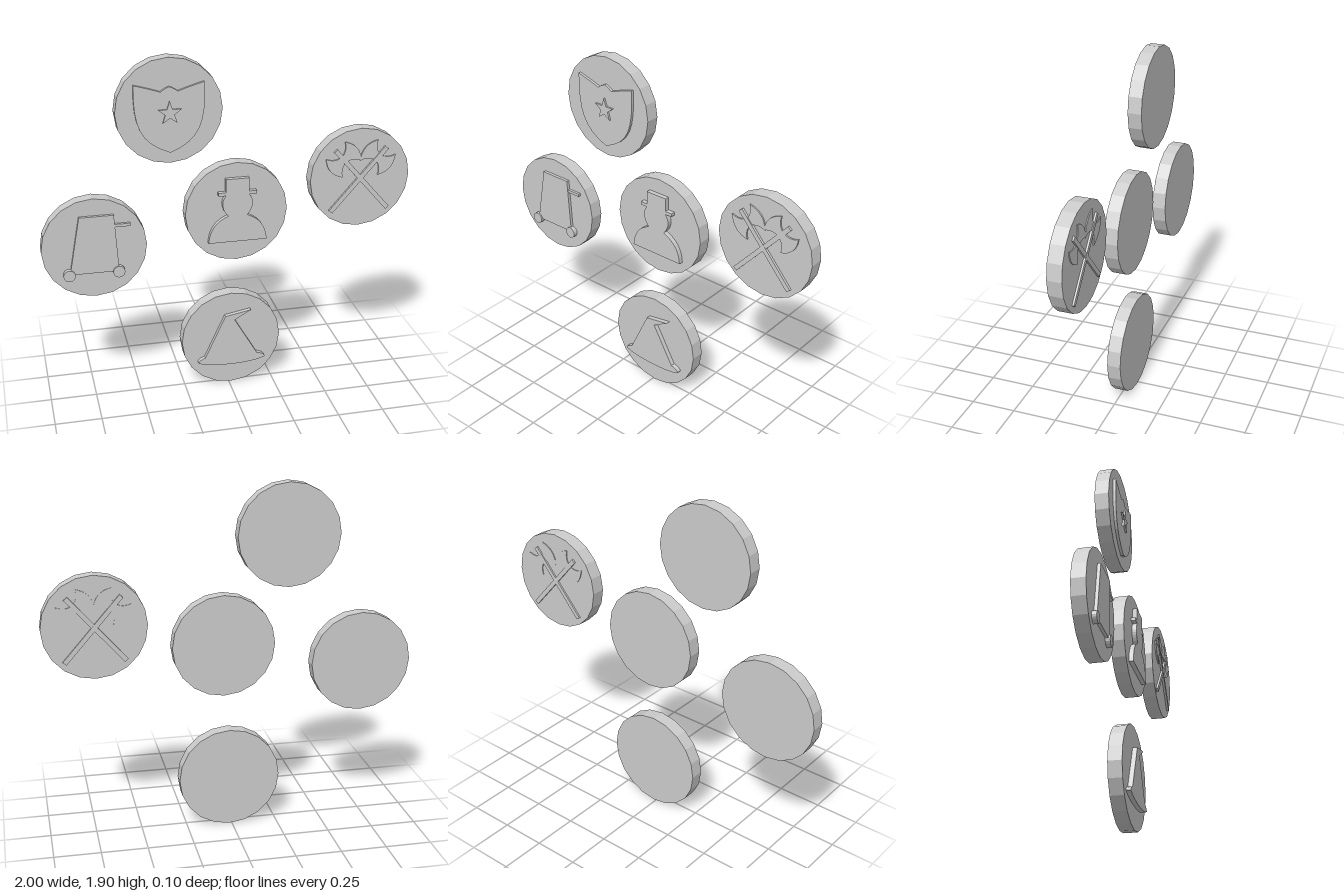
import * as THREE from 'three';

const R = 0.278;
const material = new THREE.MeshStandardMaterial({ color: 0xcccccc, flatShading: true, side: THREE.DoubleSide });

function add(parent, name, geometry) {
  const mesh = new THREE.Mesh(geometry, material);
  mesh.name = name;
  parent.add(mesh);
  return mesh;
}

// Flat relief extruded between two z levels
function relief(parent, name, shape, z0, z1) {
  const g = new THREE.ExtrudeGeometry(shape, { depth: z1 - z0, bevelEnabled: false, curveSegments: 8 });
  return add(parent, name, g.translate(0, 0, z0));
}

const polygon = (pts) => new THREE.Shape(pts.map(([x, y]) => new THREE.Vector2(x, y)));

// Token: a 20-sided disc facing +z, centred at x, y
function token(root, name, x, y, z0, z1) {
  const group = new THREE.Group();
  group.name = name;
  group.position.set(x, y, 0);
  const g = new THREE.CylinderGeometry(R, R, z1 - z0, 20);
  add(group, 'disc', g.rotateX(Math.PI / 2).translate(0, 0, (z0 + z1) / 2));
  root.add(group);
  return group;
}

function shieldShape() {
  const s = new THREE.Shape();
  s.moveTo(-0.182, 0.147);
  s.bezierCurveTo(-0.19, -0.06, -0.16, -0.16, 0, -0.218);
  s.bezierCurveTo(0.16, -0.16, 0.19, -0.06, 0.182, 0.147);
  s.quadraticCurveTo(0.1, 0.125, 0.045, 0.105);
  s.quadraticCurveTo(0.025, 0.122, 0, 0.13);
  s.quadraticCurveTo(-0.025, 0.122, -0.045, 0.105);
  s.quadraticCurveTo(-0.1, 0.125, -0.182, 0.147);
  return s;
}

function starShape() {
  const pts = [];
  for (let i = 0; i < 10; i++) {
    const a = Math.PI / 2 + i * Math.PI / 5, r = i % 2 ? 0.025 : 0.064;
    pts.push([Math.cos(a) * r, Math.sin(a) * r - 0.006]);
  }
  return polygon(pts);
}

// Head and shoulders wearing a tall hat
function bustShape() {
  const s = new THREE.Shape();
  s.moveTo(-0.158, -0.162);
  s.lineTo(0.162, -0.162);
  s.bezierCurveTo(0.155, -0.08, 0.12, -0.04, 0.053, -0.012);
  s.bezierCurveTo(0.085, 0.02, 0.095, 0.07, 0.064, 0.104);
  s.lineTo(0.105, 0.104);
  s.lineTo(0.105, 0.122);
  s.lineTo(0.064, 0.122);
  s.lineTo(0.064, 0.196);
  s.lineTo(-0.062, 0.196);
  s.lineTo(-0.062, 0.122);
  s.lineTo(-0.102, 0.122);
  s.lineTo(-0.102, 0.104);
  s.lineTo(-0.062, 0.104);
  s.bezierCurveTo(-0.093, 0.07, -0.083, 0.02, -0.05, -0.012);
  s.bezierCurveTo(-0.115, -0.04, -0.15, -0.08, -0.158, -0.162);
  return s;
}

// Pointed hat with a bent tip
function hatShape() {
  const s = new THREE.Shape();
  s.moveTo(-0.037, 0.15);
  s.lineTo(-0.152, -0.098);
  s.bezierCurveTo(-0.18, -0.108, -0.197, -0.12, -0.188, -0.13);
  s.bezierCurveTo(-0.11, -0.162, 0.11, -0.162, 0.185, -0.13);
  s.bezierCurveTo(0.197, -0.12, 0.17, -0.102, 0.143, -0.098);
  s.lineTo(0.016, 0.123);
  s.lineTo(0.107, 0.176);
  return s;
}

// One crescent blade, to the right of the handle
function bladeShape() {
  const s = new THREE.Shape();
  s.moveTo(0, 0.125);
  s.quadraticCurveTo(0.045, 0.12, 0.068, 0.072);
  s.quadraticCurveTo(0.122, 0.145, 0.068, 0.218);
  s.quadraticCurveTo(0.045, 0.17, 0, 0.165);
  return s;
}

export function createModel() {
  const root = new THREE.Group();
  root.name = 'tokens';
  const back = -0.05, front = 0.025, top = 0.05;

  const shield = token(root, 'shieldToken', -0.31, 1.623, back, front);
  relief(shield, 'shield', shieldShape(), 0, 0.04);
  relief(shield, 'star', starShape(), 0, top);

  const bust = token(root, 'bustToken', 0.042, 1.04, back, front);
  relief(bust, 'bust', bustShape(), 0, top);

  const hat = token(root, 'hatToken', 0.013, 0.279, back, front);
  relief(hat, 'pointedHat', hatShape(), 0, top);

  // Cart with two wheels and a push handle
  const cart = token(root, 'cartToken', -0.722, 0.903, back, front);
  relief(cart, 'cartBody', polygon([[-0.135, -0.136], [0.125, -0.136], [0.107, 0.184], [-0.075, 0.184]]), 0, 0.042);
  relief(cart, 'cartHandle', polygon([[0.1, 0.115], [0.192, 0.115], [0.192, 0.131], [0.1, 0.131]]), 0, 0.04);
  for (const x of [-0.139, 0.123]) {
    const g = new THREE.CylinderGeometry(0.032, 0.032, top, 16);
    add(cart, 'cartWheel', g.rotateX(Math.PI / 2).translate(x, -0.139, top / 2));
  }

  // Crossed double-bladed axes, raised on both faces of the disc
  const axes = token(root, 'axesToken', 0.722, 1.182, -0.04, 0.037);
  for (const side of [-1, 1]) {
    const axe = new THREE.Group();
    axe.name = side > 0 ? 'leftAxe' : 'rightAxe';
    axe.rotation.z = -side * 0.72;
    const h = side > 0 ? 0.049 : 0.05;
    add(axe, 'axeHandle', new THREE.BoxGeometry(0.025, 0.462, 2 * h).translate(0, -0.014, 0));
    for (const turn of [0, Math.PI]) {
      const blade = relief(axe, 'axeBlade', bladeShape(), -0.045, 0.045);
      blade.rotation.y = turn;
    }
    axes.add(axe);
  }
  return root;
}
